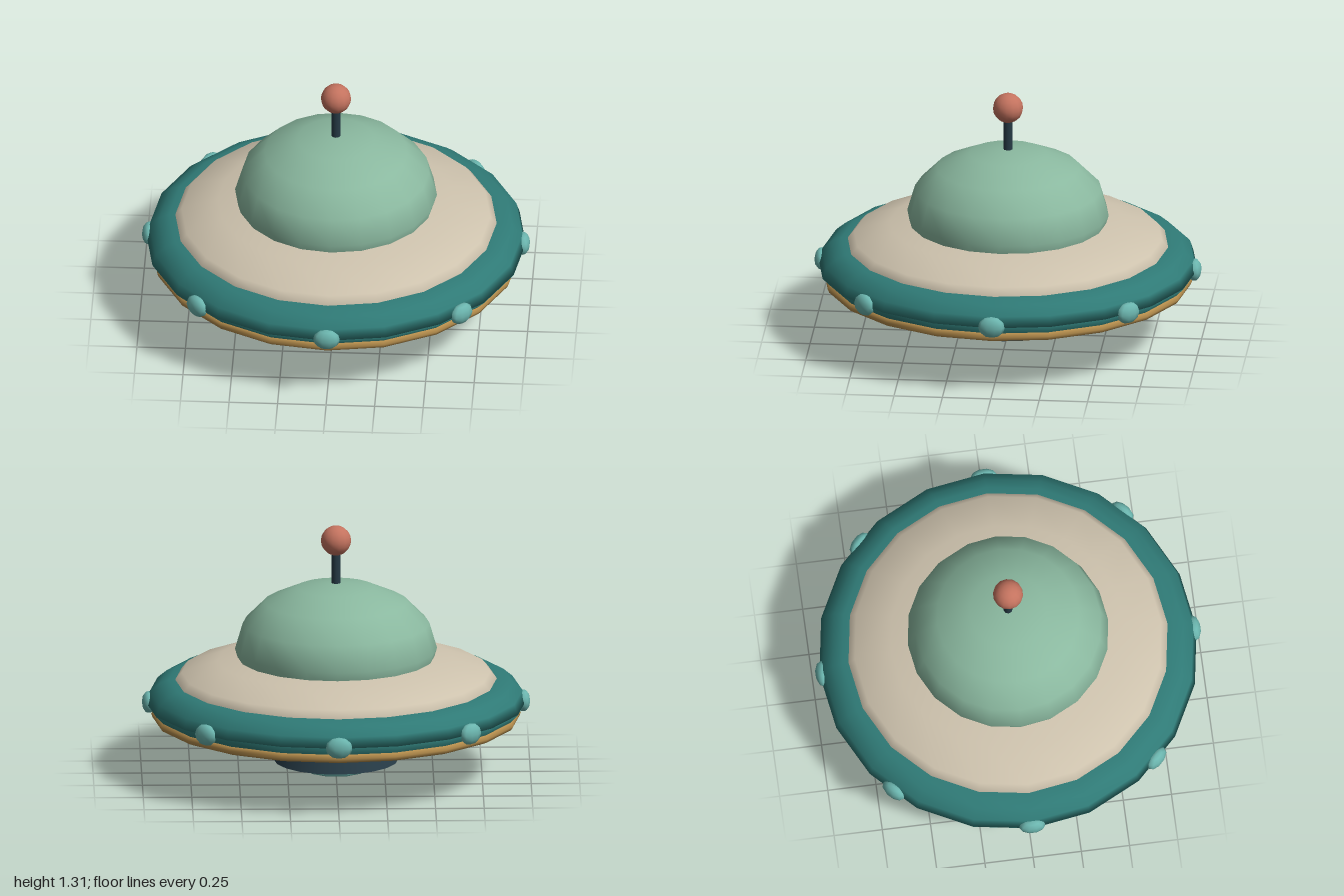
import * as THREE from 'three';

const SIDES = 20;
const paint = (name, color) => {
  const m = new THREE.MeshStandardMaterial({ color });
  m.name = name;
  return m;
};

export function createModel() {
  const teal = paint('teal', 0x2f7a76);
  const beige = paint('beige', 0xcdc2ad);
  const green = paint('paleGreen', 0x8ab89f);
  const gold = paint('gold', 0xb58d4c);
  const red = paint('copperRed', 0xc4735f);
  const dark = paint('darkSlate', 0x263a45);
  const glow = paint('aqua', 0x6bb5ae);

  const model = new THREE.Group();
  model.name = 'flyingSaucer';
  const add = (name, geometry, material, y = 0) => {
    const mesh = new THREE.Mesh(geometry, material);
    mesh.name = name;
    mesh.position.y = y;
    model.add(mesh);
    return mesh;
  };
  // sphere squashed to height ry
  const ellipsoid = (r, ry, sides, rings) =>
    new THREE.SphereGeometry(r, sides, rings).scale(1, ry / r, 1);

  // saucer body: lower hull, thick rim and upper deck
  add('lowerHull', ellipsoid(0.978, 0.198, SIDES, 8), teal, 0.375);
  const rimProfile = [
    [0.9, 0.36], [0.978, 0.378], [0.96, 0.432], [0.91, 0.474], [0.86, 0.496], [0.8, 0.496],
  ].map(([r, y]) => new THREE.Vector2(r, y));
  add('rim', new THREE.LatheGeometry(rimProfile, SIDES), teal);
  add('upperDeck', ellipsoid(0.86, 0.2, SIDES, 8), beige, 0.458);
  add('trimRing', new THREE.TorusGeometry(0.925, 0.026, 8, SIDES).rotateX(Math.PI / 2), gold, 0.315);

  // dome and antenna
  add('dome', ellipsoid(0.52, 0.35, SIDES, 8), green, 0.66);
  add('antennaRod', new THREE.CylinderGeometry(0.024, 0.024, 0.24, 8), dark, 1.1);
  add('antennaBall', new THREE.SphereGeometry(0.078, 14, 10), red, 1.232);

  // engine below the hull
  add('engineSkirt', new THREE.CylinderGeometry(0.255, 0.32, 0.14, SIDES), dark, 0.14);
  add('engineGlow', ellipsoid(0.214, 0.048, 10, 4), glow, 0.048);

  // eight lamps around the rim
  const lamp = new THREE.SphereGeometry(0.07, 10, 6).scale(1, 0.8, 0.53);
  for (let i = 0; i < 8; i++) {
    const a = (i * Math.PI) / 4;
    const mesh = add('rimLamp', lamp, glow, 0.378);
    mesh.position.x = Math.sin(a) * 0.963;
    mesh.position.z = Math.cos(a) * 0.963;
    mesh.rotation.y = a;
  }
  return model;
}
